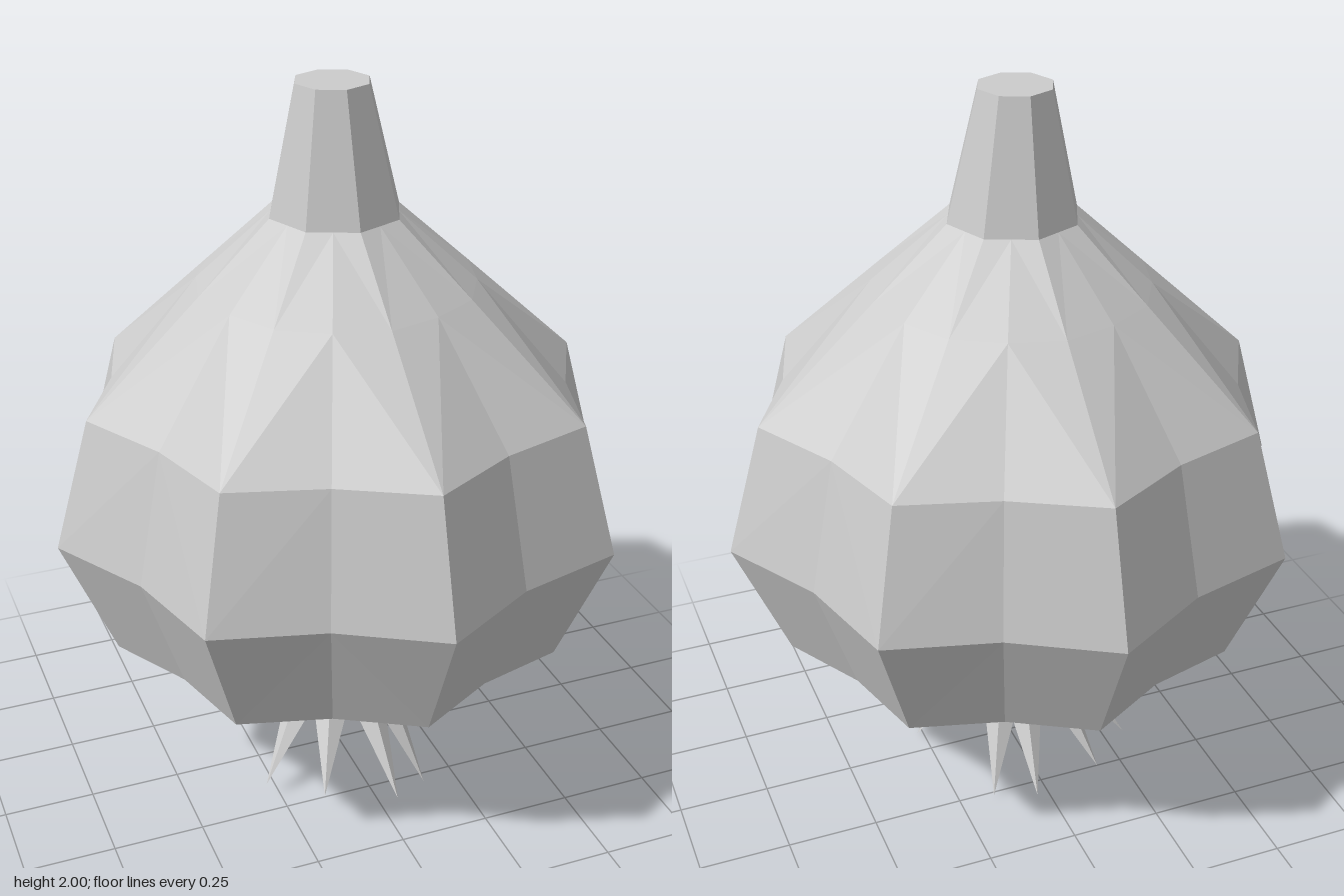
import * as THREE from 'three';

const LOBES = 8;

// Flat-shaded skin through stacked rings of equal point count, with end caps on request.
function loft(name, rings, material, capBottom, capTop) {
  const n = rings[0].length;
  const pos = rings.flat().flatMap((p) => p.toArray());
  const idx = [];
  for (let r = 0; r < rings.length - 1; r++) {
    for (let i = 0; i < n; i++) {
      const a = r * n + i, b = r * n + (i + 1) % n;
      const c = a + n, d = b + n;
      // mirror the diagonal on alternate facets so every lobe is symmetric
      if (i % 2) idx.push(a, c, b, b, c, d);
      else idx.push(a, c, d, a, d, b);
    }
  }
  const top = (rings.length - 1) * n;
  for (let i = 1; i < n - 1; i++) {
    if (capBottom) idx.push(0, i, i + 1);
    if (capTop) idx.push(top, top + i + 1, top + i);
  }
  const geo = new THREE.BufferGeometry();
  geo.setAttribute('position', new THREE.Float32BufferAttribute(pos, 3));
  geo.setIndex(idx);
  const flat = geo.toNonIndexed();
  flat.computeVertexNormals();
  const mesh = new THREE.Mesh(flat, material);
  mesh.name = name;
  return mesh;
}

// Ring whose radius alternates between ridge and valley.
function ring(y, ridge, valley, cx = 0) {
  return Array.from({ length: LOBES * 2 }, (_, i) => {
    const a = (i * Math.PI) / LOBES;
    const r = i % 2 ? valley : ridge;
    return new THREE.Vector3(cx + Math.cos(a) * r, y, Math.sin(a) * r);
  });
}

export function createModel() {
  const group = new THREE.Group();
  group.name = 'garlicBulb';
  const material = new THREE.MeshStandardMaterial({ color: 0xcccccc, flatShading: true });
  const flat = Math.cos(Math.PI / LOBES); // valley on the chord gives a plain octagon

  // Bulb: ridged cloves narrowing to a neck
  group.add(loft('bulb', [
    ring(0.3, 0.19, 0.19 * flat),
    ring(0.48, 0.645, 0.565),
    ring(0.825, 0.79, 0.69),
    ring(1.18, 0.69, 0.61),
    ring(1.475, 0.376, 0.366, -0.004),
    ring(1.66, 0.178, 0.178 * flat, -0.008),
  ], material, true, false));

  // Stem: tapered octagon leaning slightly to one side
  group.add(loft('stem', [
    ring(1.66, 0.178, 0.178 * flat, -0.008),
    ring(2.0, 0.1, 0.1 * flat, -0.015),
  ], material, false, true));

  // Roots: flattened spikes splaying from under the bulb, given by tip x, y, z
  const tips = [
    [0.295, 0.075, -0.01], [-0.33, 0.145, 0],
    [0.155, 0, 0.285], [0.155, 0.01, -0.275],
    [0.045, 0.02, 0.355], [0.045, 0.025, -0.335],
    [-0.155, 0.045, 0.3], [-0.155, 0.045, -0.3],
    [-0.29, 0.045, 0.19], [-0.29, 0.045, -0.185],
  ];
  const roots = new THREE.Group();
  roots.name = 'roots';
  for (const [x, y, z] of tips) {
    const tip = new THREE.Vector3(x, y, z);
    const out = new THREE.Vector3(x, 0, z).normalize();
    const base = out.clone().multiplyScalar(0.13).setY(0.31);
    const axis = tip.clone().sub(base);
    const spike = new THREE.ConeGeometry(1, axis.length(), 4, 1, true);
    spike.scale(0.065, 1, 0.035);
    spike.translate(0, axis.length() / 2, 0);
    const up = axis.clone().normalize();
    const side = new THREE.Vector3().crossVectors(up, out).normalize();
    const front = new THREE.Vector3().crossVectors(side, up);
    spike.applyMatrix4(new THREE.Matrix4().makeBasis(side, up, front).setPosition(base));
    const root = new THREE.Mesh(spike, material);
    root.name = 'root';
    roots.add(root);
  }
  group.add(roots);
  return group;
}
